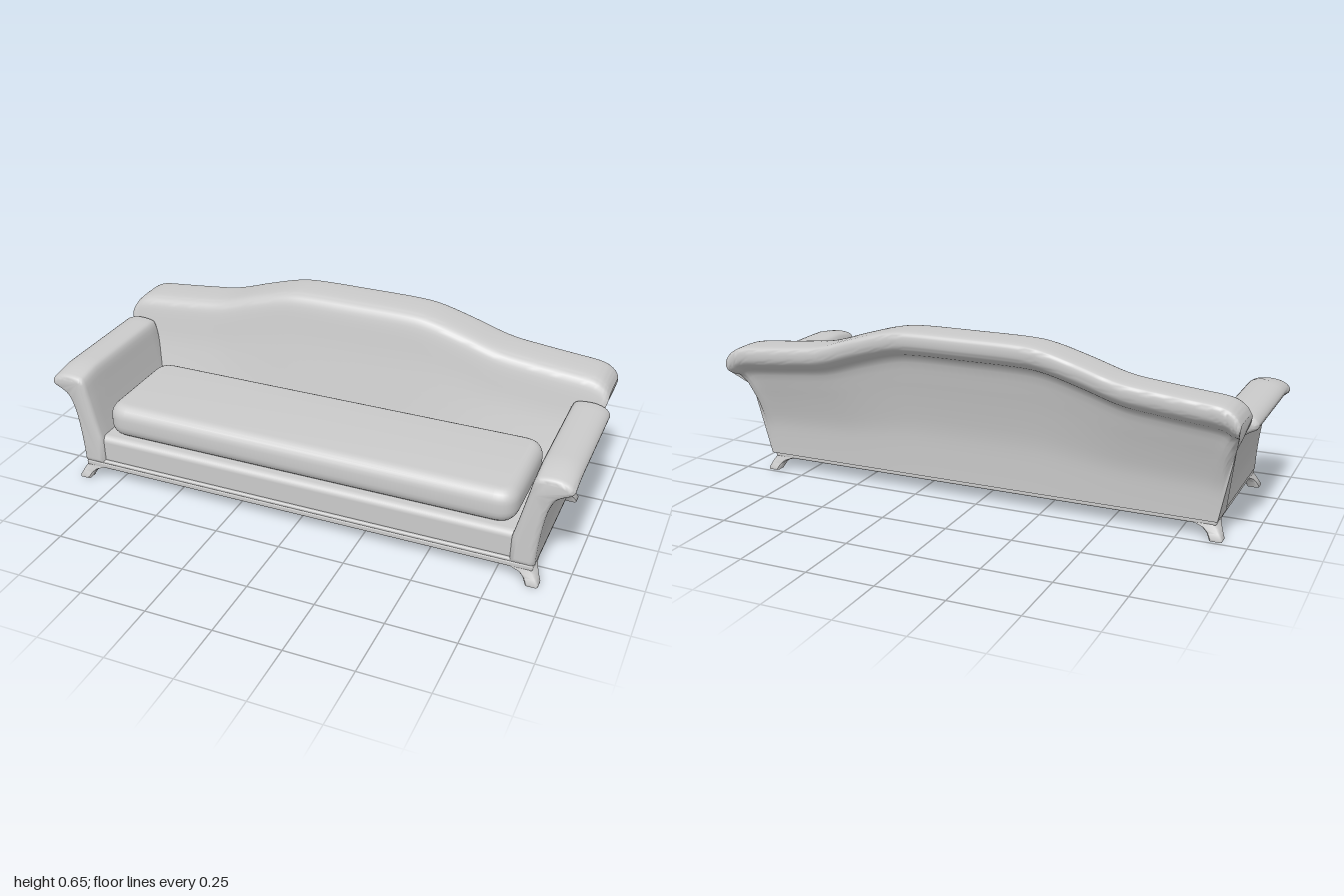
import * as THREE from 'three';
import { toCreasedNormals } from 'three/addons/utils/BufferGeometryUtils.js';
import { RoundedBoxGeometry } from 'three/addons/geometries/RoundedBoxGeometry.js';

const material = new THREE.MeshStandardMaterial({ color: 0xcccccc });

function addMesh(group, name, geometry) {
  const mesh = new THREE.Mesh(geometry, material);
  mesh.name = name;
  group.add(mesh);
  return mesh;
}

// Joins closed rings of points (counter-clockwise about the sweep direction) and caps both ends.
function loft(rings, crease) {
  const n = rings[0].length;
  const pos = [], idx = [];
  rings.forEach((ring) => ring.forEach((p) => pos.push(p.x, p.y, p.z)));
  for (let i = 0; i < rings.length - 1; i++) {
    for (let j = 0; j < n; j++) {
      const a = i * n + j, b = i * n + (j + 1) % n;
      idx.push(a, b, a + n, b, b + n, a + n);
    }
  }
  [0, rings.length - 1].forEach((r) => {
    const c = new THREE.Vector3();
    rings[r].forEach((p) => c.addScaledVector(p, 1 / n));
    const k = pos.length / 3;
    pos.push(c.x, c.y, c.z);
    for (let j = 0; j < n; j++) {
      const a = r * n + j, b = r * n + (j + 1) % n;
      if (r) idx.push(k, a, b);
      else idx.push(k, b, a);
    }
  });
  const g = new THREE.BufferGeometry();
  g.setAttribute('position', new THREE.Float32BufferAttribute(pos, 3));
  g.setIndex(idx);
  return toCreasedNormals(g, crease);
}

// Linear interpolation in a table of [key, value] pairs
function lookup(table, v) {
  for (let i = 1; i < table.length; i++) {
    const [x0, y0] = table[i - 1], [x1, y1] = table[i];
    if (v <= x1) return y0 + (y1 - y0) * Math.max(0, (v - x0) / (x1 - x0));
  }
  return table[table.length - 1][1];
}

// Camel-shaped back: a rolled cross-section swept along x under a curved crest
function backGeometry() {
  const width = [[0.07, 0.891], [0.17, 0.9], [0.28, 0.916], [0.36, 0.941], [0.41, 0.972], [0.45, 0.982]];
  const crest = new THREE.SplineCurve([
    [0, 0.653], [0.2, 0.652], [0.3, 0.641], [0.43, 0.605], [0.57, 0.562], [0.7, 0.545],
    [0.82, 0.533], [0.9, 0.525], [0.94, 0.514], [0.967, 0.493], [0.982, 0.465],
  ].map(([x, y]) => new THREE.Vector2(x, y))).getPoints(44);
  // Body points as [z, share of body height], roll points as [z, share of roll height]
  const bodyBack = [[-0.232, 0], [-0.236, 0.2], [-0.243, 0.4], [-0.263, 0.62], [-0.285, 0.82]];
  const roll = [[-0.308, 0], [-0.342, 0.22], [-0.368, 0.42], [-0.377, 0.62], [-0.376, 0.88],
    [-0.362, 0.98], [-0.31, 1], [-0.25, 0.985], [-0.218, 0.92], [-0.2, 0.75], [-0.188, 0.35]];
  const bodyFront = [[-0.17, 0.85], [-0.135, 0.5], [-0.11, 0.25], [-0.1, 0]];

  function section(x, h, inset) {
    const rb = Math.max(h - 0.11, 0.395);
    const body = ([z, f]) => new THREE.Vector2(z, 0.07 + (rb - 0.07) * f);
    const pts = [...bodyBack.map(body),
      ...roll.map(([z, t]) => new THREE.Vector2(z, rb + (h - rb) * t)), ...bodyFront.map(body)];
    return new THREE.SplineCurve(pts).getPoints(56).map((p) => new THREE.Vector3(
      (x / 0.982) * lookup(width, p.y), p.y, -0.22 + (p.x + 0.22) * inset));
  }
  // The last two stations are drawn in slightly to soften the end corners
  const last = crest.length - 1;
  const half = crest.map((p, i) => [p.x, p.y, i === last ? 0.94 : i === last - 1 ? 0.98 : 1]);
  const stations = [...half.slice(1).reverse().map(([x, h, s]) => [-x, h, s]), ...half];
  return loft(stations.map(([x, h, s]) => section(x, h, s)), 1.1);
}

// Flared arm with a rolled top; side is +1 for left, -1 for right
function armGeometry(side) {
  const v = (x, y) => new THREE.Vector2(x * side, y);
  const shape = new THREE.Shape();
  shape.moveTo(0.8 * side, 0.072);
  shape.lineTo(0.888 * side, 0.072);
  shape.splineThru([v(0.895, 0.17), v(0.911, 0.28), v(0.934, 0.35), v(0.963, 0.376), v(0.991, 0.392),
    v(0.999, 0.412), v(0.98, 0.434), v(0.94, 0.446), v(0.89, 0.444), v(0.863, 0.428),
    v(0.847, 0.36), v(0.825, 0.26), v(0.802, 0.17)]);
  shape.closePath();
  const b = 0.02;
  const g = new THREE.ExtrudeGeometry(shape, {
    depth: 0.552 - 2 * b, steps: 12, curveSegments: 3,
    bevelThickness: b, bevelSize: b, bevelOffset: -b, bevelSegments: 4,
  });
  g.translate(0, 0, -0.185 + b);
  // The top dips gently towards the front
  const p = g.attributes.position;
  for (let i = 0; i < p.count; i++) {
    const dip = THREE.MathUtils.smoothstep(p.getZ(i), 0.25, 0.37);
    const high = THREE.MathUtils.smoothstep(p.getY(i), 0.25, 0.44);
    p.setY(i, p.getY(i) - 0.016 * dip * high);
  }
  return toCreasedNormals(g, 1.1);
}

// Loose seat cushion: rounded plan with a soft edge
function cushionGeometry() {
  const w = 0.8, d = 0.215, r = 0.08;
  const s = new THREE.Shape();
  s.moveTo(-w + r, -d);
  s.lineTo(w - r, -d);
  s.quadraticCurveTo(w, -d, w, -d + r);
  s.lineTo(w, d - r);
  s.quadraticCurveTo(w, d, w - r, d);
  s.lineTo(-w + r, d);
  s.quadraticCurveTo(-w, d, -w, d - r);
  s.lineTo(-w, -d + r);
  s.quadraticCurveTo(-w, -d, -w + r, -d);
  const g = new THREE.ExtrudeGeometry(s, {
    depth: 0.03, curveSegments: 8, bevelThickness: 0.05, bevelSize: 0.045, bevelOffset: -0.045, bevelSegments: 6,
  });
  g.rotateX(-Math.PI / 2);
  g.translate(0, 0.232, 0.115);
  return toCreasedNormals(g, 0.8);
}

// Splayed foot, curving outwards at a corner of the rail
function legGeometry(sx, sz) {
  const stations = [[0, 0.888, 0.285, 0.022], [0.006, 0.887, 0.284, 0.023], [0.025, 0.877, 0.274, 0.024],
    [0.04, 0.864, 0.263, 0.029], [0.05, 0.846, 0.25, 0.04], [0.062, 0.825, 0.23, 0.058]];
  return loft(stations.map(([y, x, z, h]) => {
    const c = h * 0.75;
    return [[h, c], [h, -c], [c, -h], [-c, -h], [-h, -c], [-h, c], [-c, h], [c, h]].map(([dx, dz]) =>
      new THREE.Vector3(sx * x + dx, y, 0.07 + sz * z + dz));
  }), 0.9);
}

export function createModel() {
  const sofa = new THREE.Group();
  sofa.name = 'sofa';

  // Base rail, welt and upholstered seat deck
  addMesh(sofa, 'baseRail', new RoundedBoxGeometry(1.77, 0.024, 0.58, 3, 0.008)).position.set(0, 0.062, 0.07);
  addMesh(sofa, 'welt', new RoundedBoxGeometry(1.77, 0.014, 0.56, 3, 0.006)).position.set(0, 0.079, 0.081);
  addMesh(sofa, 'seatDeck', new RoundedBoxGeometry(1.7, 0.118, 0.55, 4, 0.025)).position.set(0, 0.127, 0.076);

  addMesh(sofa, 'seatCushion', cushionGeometry());
  addMesh(sofa, 'back', backGeometry());
  for (const side of [1, -1]) {
    addMesh(sofa, side > 0 ? 'leftArm' : 'rightArm', armGeometry(side));
    for (const end of [1, -1]) {
      addMesh(sofa, (end > 0 ? 'front' : 'back') + (side > 0 ? 'LeftLeg' : 'RightLeg'), legGeometry(side, end));
    }
  }
  return sofa;
}
